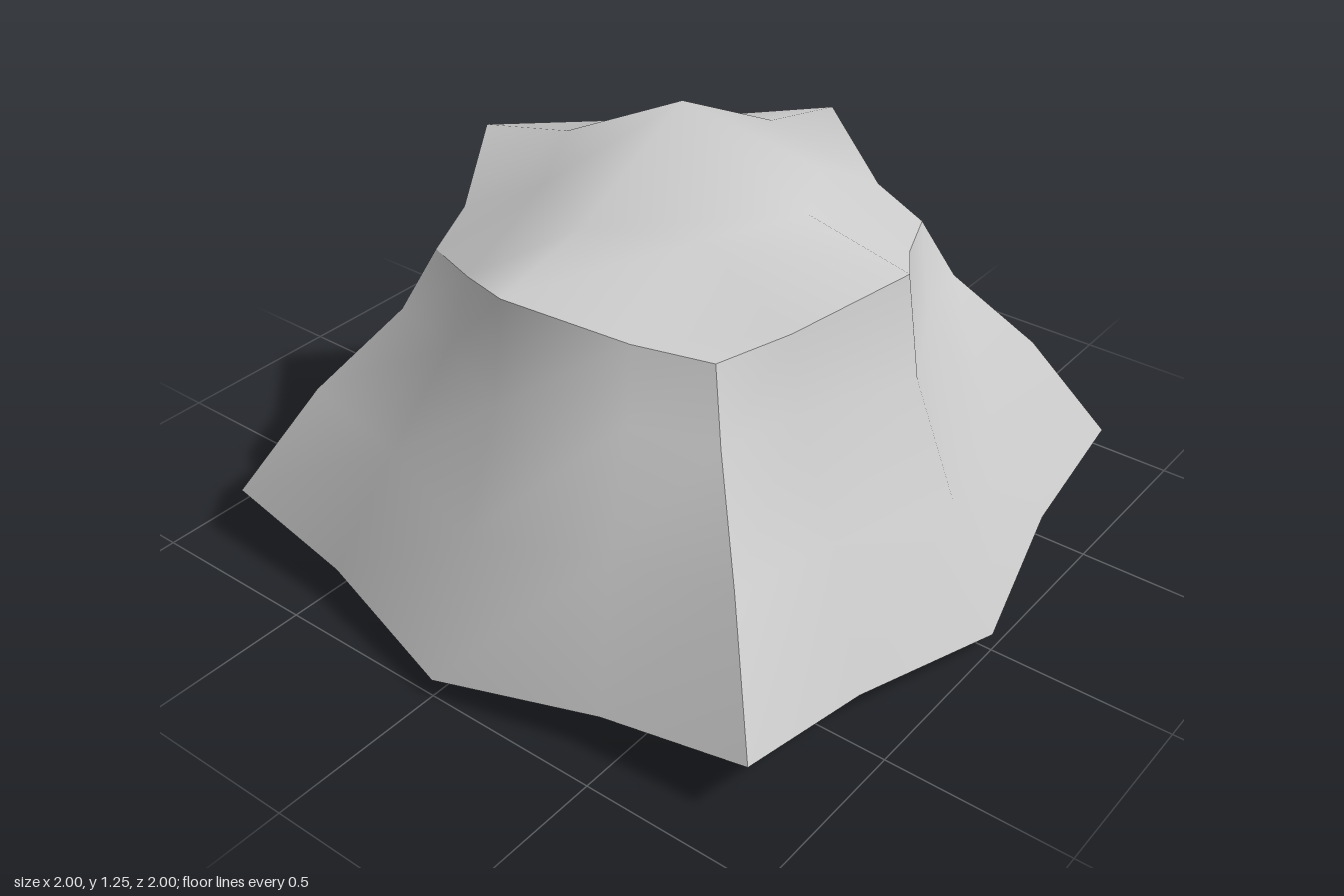
import * as THREE from 'three';

// Rings from bottom to top; each holds middle, quarter and corner points
// of one side as [distance outward, distance along the side, height].
const rings = [
  [[1.0, 0, 0.05], [0.89, 0.45, 0.105], [0.855, 0.855, 0.16]],
  [[0.855, 0, 0.4], [0.74, 0.36, 0.435], [0.69, 0.69, 0.47]],
  [[0.727, 0, 0.71], [0.58, 0.29, 0.7], [0.52, 0.52, 0.7]],
  [[0.685, 0, 0.99], [0.53, 0.26, 0.89], [0.45, 0.45, 0.87]],
];
// Inner points of the caps: centre, halfway to a middle, halfway to a corner.
const topInner = [[0, 0, 1.25], [0.39, 0, 1.055], [0.25, 0.25, 1.04]];
const bottomInner = [[0, 0, 0], [0.5, 0, 0.015], [0.45, 0.45, 0.04]];

const material = new THREE.MeshStandardMaterial({ color: 0xcccccc });

// Smooth grid patch; point(i, j) runs right with i and up with j.
function patch(name, cols, rows, point) {
  const positions = [], index = [];
  for (let j = 0; j < rows; j++)
    for (let i = 0; i < cols; i++) positions.push(...point(i, j));
  for (let j = 0; j < rows - 1; j++)
    for (let i = 0; i < cols - 1; i++) {
      const a = j * cols + i, b = a + 1, c = a + cols, d = c + 1;
      index.push(a, b, d, a, d, c);
    }
  const geometry = new THREE.BufferGeometry();
  geometry.setAttribute('position', new THREE.Float32BufferAttribute(positions, 3));
  geometry.setIndex(index);
  geometry.computeVertexNormals();
  const mesh = new THREE.Mesh(geometry, material);
  mesh.name = name;
  return mesh;
}

// Point of a cap at grid offset (u, v), each from -2 to 2, eightfold symmetric.
function capPoint(u, v, inner, ring) {
  const a = Math.abs(u), b = Math.abs(v);
  const far = Math.max(a, b), near = Math.min(a, b);
  const [out, along, y] = far === 2 ? ring[near] : inner[far + near];
  const x = a >= b ? out : along, z = a >= b ? along : out;
  return [Math.sign(u) * x, y, Math.sign(v) * z];
}

export function createModel() {
  const model = new THREE.Group();
  model.name = 'flaredBlock';

  // Four flared sides
  ['frontSide', 'leftSide', 'backSide', 'rightSide'].forEach((name, k) => {
    const side = patch(name, 5, 4, (i, j) => {
      const u = i - 2, [out, along, y] = rings[j][Math.abs(u)];
      return [Math.sign(u) * along, y, out];
    });
    side.rotation.y = k * Math.PI / 2;
    model.add(side);
  });

  // Peaked top and shallow bulging underside
  model.add(patch('top', 5, 5, (i, j) => capPoint(i - 2, 2 - j, topInner, rings[3])));
  model.add(patch('underside', 5, 5, (i, j) => capPoint(i - 2, j - 2, bottomInner, rings[0])));
  return model;
}
